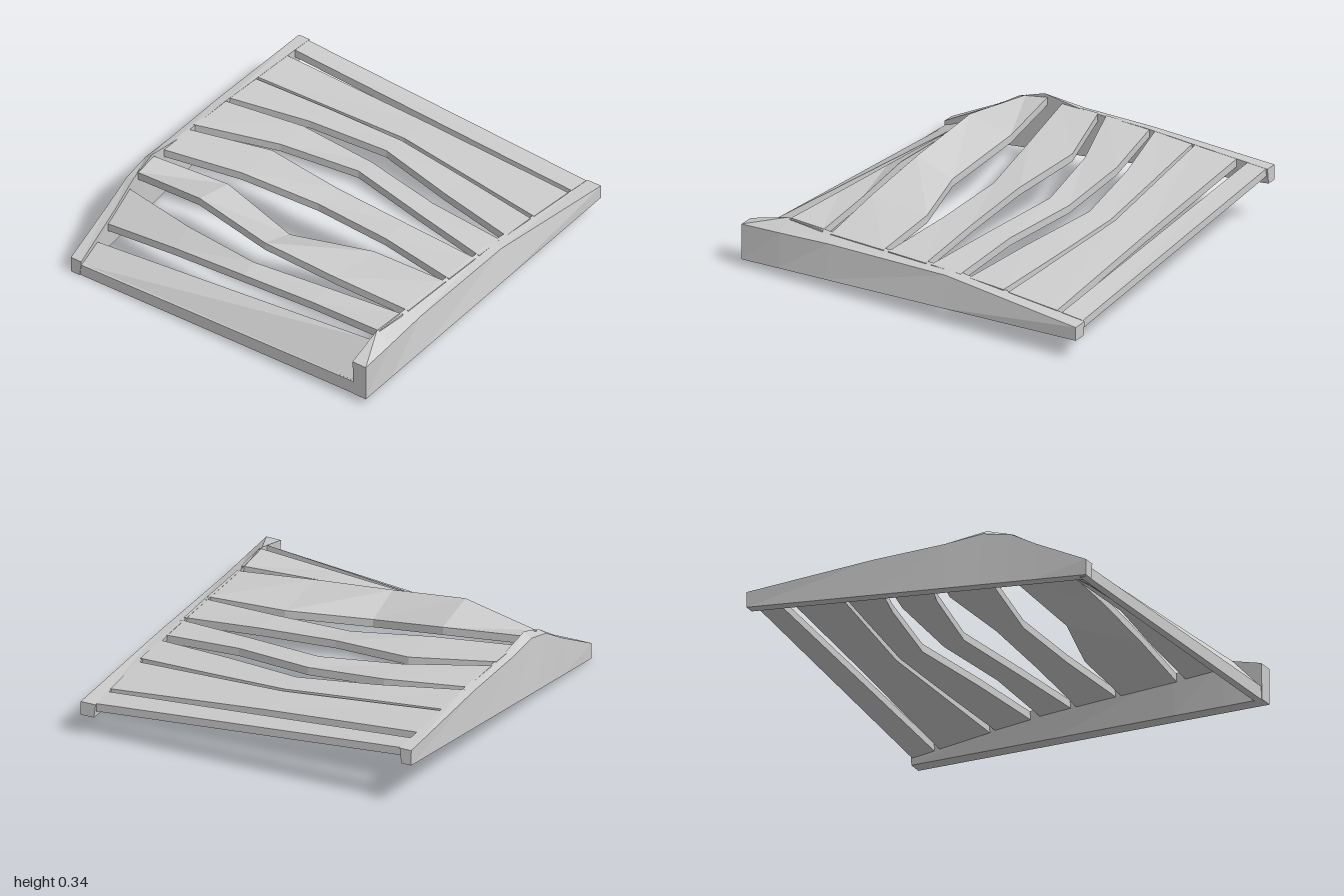
import * as THREE from 'three';

const material = new THREE.MeshStandardMaterial({ color: 0xcccccc, flatShading: true, side: THREE.DoubleSide });
const lerp = THREE.MathUtils.lerp;

// Plan corners [x, z] of the skewed frame: u runs along the rails, t from back rail to front rail
const A = [-1, -0.47], B = [0.49, -0.98], C = [1, 0.45], D = [-0.54, 0.98];
const place = (u, t, y) => {
  const at = i => lerp(lerp(A[i], B[i], u), lerp(D[i], C[i], u), t);
  return [at(0), y, at(1)];
};

// Closed solid through four-cornered sections
function loft(name, sections) {
  const out = [];
  const quad = (a, b, c, d) => out.push(...a, ...b, ...c, ...a, ...c, ...d);
  for (let k = 0; k < sections.length - 1; k++) {
    const s = sections[k], n = sections[k + 1];
    for (let i = 0; i < 4; i++) {
      const j = (i + 1) % 4;
      quad(s[i], n[i], n[j], s[j]);
    }
  }
  quad(...sections[0]);
  quad(...[...sections[sections.length - 1]].reverse());
  const geometry = new THREE.BufferGeometry();
  geometry.setAttribute('position', new THREE.Float32BufferAttribute(out, 3));
  geometry.computeVertexNormals();
  const mesh = new THREE.Mesh(geometry, material);
  mesh.name = name;
  return mesh;
}

// Slats, each edge sampled evenly from back to front: u and top height of both edges
const slats = [
  { u0: [0.005, 0.005], u1: [0.075, 0.08], y0: [0.05, 0.09], y1: [0.1, 0.225] },
  { u0: [0.12, 0.12, 0.12, 0.12, 0.115], u1: [0.215, 0.175, 0.16, 0.19, 0.214],
    y0: [0.15, 0.18, 0.2, 0.22, 0.235], y1: [0.24, 0.24, 0.23, 0.225, 0.225] },
  { u0: [0.25, 0.225, 0.21, 0.22, 0.238], u1: [0.318, 0.35, 0.318, 0.385, 0.397],
    y0: [0.29, 0.335, 0.28, 0.25, 0.22], y1: [0.31, 0.29, 0.22, 0.225, 0.215] },
  { u0: [0.363, 0.41, 0.443, 0.436, 0.411], u1: [0.473, 0.539, 0.52, 0.52, 0.524],
    y0: [0.3, 0.29, 0.255, 0.24, 0.215], y1: [0.3, 0.285, 0.265, 0.24, 0.21] },
  { u0: [0.498, 0.576, 0.615, 0.575, 0.539], u1: [0.633, 0.675, 0.673, 0.636, 0.628],
    y0: [0.3, 0.28, 0.26, 0.235, 0.21], y1: [0.295, 0.28, 0.25, 0.23, 0.205] },
  { u0: [0.65, 0.705, 0.735, 0.69, 0.654], u1: [0.766, 0.785, 0.8, 0.78, 0.757],
    y0: [0.295, 0.275, 0.25, 0.225, 0.2], y1: [0.285, 0.265, 0.24, 0.215, 0.19] },
  { u0: [0.775, 0.812, 0.772], u1: [0.904, 0.911, 0.918],
    y0: [0.285, 0.24, 0.185], y1: [0.275, 0.225, 0.165] },
  { u0: [0.937, 0.932], u1: [0.995, 0.995], y0: [0.272, 0.162], y1: [0.268, 0.152] },
];

function slat({ u0, u1, y0, y1 }, index) {
  const thick = 0.035;
  return loft('slat' + (index + 1), u0.map((u, k) => {
    const t = lerp(0.03, 0.955, k / (u0.length - 1));
    return [place(u, t, y0[k]), place(u1[k], t, y1[k]),
      place(u1[k], t, y1[k] - thick), place(u, t, y0[k] - thick)];
  }));
}

// Back rail stations: u, outer top height, inner top height
const backProfile = [[0, 0.07, 0.07], [0.15, 0.195, 0.2], [0.23, 0.27, 0.28], [0.31, 0.3, 0.325],
  [0.42, 0.29, 0.3], [0.63, 0.29, 0.297], [1, 0.268, 0.268]];
// Front rail stations: u, outer top height, inner top height, outer top t, inner top t
const frontProfile = [[0, 0.19, 0.19, 1, 0.955], [0.11, 0.193, 0.238, 0.994, 0.95],
  [0.25, 0.198, 0.222, 0.985, 0.945], [0.6, 0.202, 0.21, 0.98, 0.945], [1, 0.15, 0.15, 1, 0.955]];

export function createModel() {
  const model = new THREE.Group();
  model.name = 'slattedPanel';

  model.add(loft('backRail', backProfile.map(([u, outer, inner]) => {
    const base = lerp(0, 0.2, u), lean = 0.07 * (inner - base - 0.07);
    return [place(u, 0.035, inner), place(u, lean, outer), place(u, 0, base), place(u, 0.03, base)];
  })));

  model.add(loft('frontRail', frontProfile.map(([u, outer, inner, to, ti]) => {
    const base = lerp(0.03, 0.09, u);
    return [place(u, to, outer), place(u, ti, inner), place(u, 0.96, base), place(u, 1, base)];
  })));

  // Low side wall under the first slat, rising from the ground edge
  model.add(loft('sideWall', [0.01, 0.97].map(t => {
    const base = lerp(0, 0.03, t), top = lerp(0.05, 0.09, t);
    return [place(0.002, t, top), place(0.022, t, top + 0.01), place(0.022, t, base), place(0.002, t, base)];
  })));

  slats.forEach((s, i) => model.add(slat(s, i)));
  return model;
}
